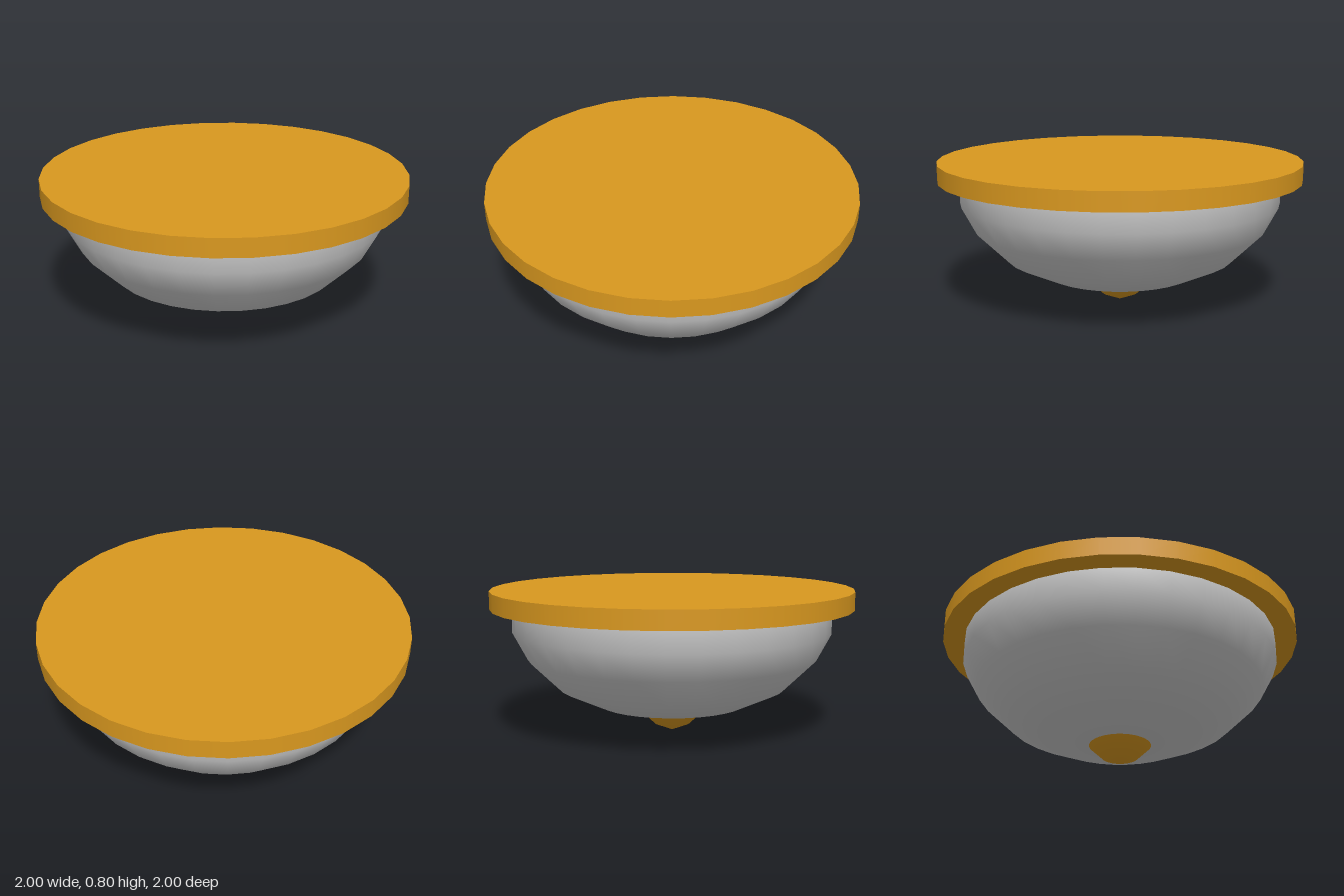
import * as THREE from 'three';

const SIDES = 32;

// Turned part from [radius, height] points, listed bottom to top
function turned(name, profile, material) {
  const points = profile.map(([r, y]) => new THREE.Vector2(r, y));
  const mesh = new THREE.Mesh(new THREE.LatheGeometry(points, SIDES), material);
  mesh.name = name;
  return mesh;
}

export function createModel() {
  const group = new THREE.Group();
  group.name = 'ceilingLamp';
  const brass = new THREE.MeshStandardMaterial({ color: 0xd9981f });
  const glass = new THREE.MeshStandardMaterial({ color: 0xcccccc, side: THREE.DoubleSide });

  // Round mounting plate
  const plate = new THREE.Mesh(new THREE.CylinderGeometry(1, 1, 0.1, SIDES), brass);
  plate.name = 'mountingPlate';
  plate.position.y = 0.75;
  group.add(plate);

  // Bowl-shaped glass shade
  group.add(turned('glassShade', [
    [0.17, 0.107], [0.41, 0.155], [0.63, 0.255], [0.8, 0.42], [0.88, 0.57], [0.88, 0.7],
  ], glass));

  // Small pointed finial under the shade
  group.add(turned('finial', [[0, 0], [0.1, 0.04], [0.17, 0.107]], brass));

  return group;
}
